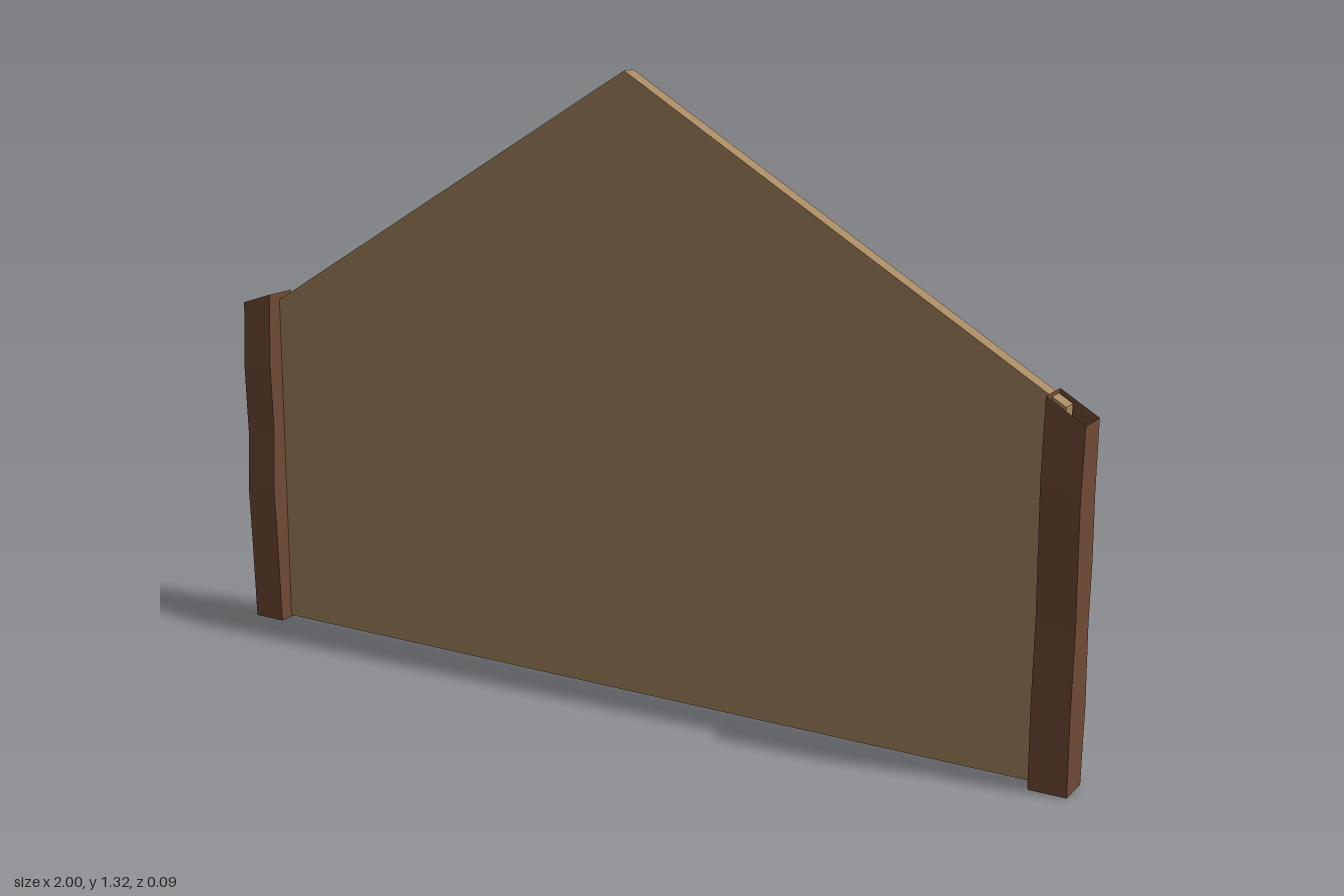
import * as THREE from 'three';

const plankMat = new THREE.MeshStandardMaterial({ color: 0xa68860 });
plankMat.name = 'tan panel';
const woodMat = new THREE.MeshStandardMaterial({ color: 0x704a34, side: THREE.DoubleSide });
woodMat.name = 'dark brown timber';

// Hollow rough-hewn post: stacked rectangular rings, open at both ends.
// rings: [height fraction, front z, back z]
function makePost(name, x0, x1, top0, top1, rings) {
  const corners = rings.map(([t, front, back]) => [
    [x0, t * top0, front], [x1, t * top1, front],
    [x1, t * top1, back], [x0, t * top0, back],
  ]);
  const pos = [];
  for (let i = 0; i < rings.length - 1; i++) {
    for (let k = 0; k < 4; k++) {
      const n = (k + 1) % 4;
      const a = corners[i][k], b = corners[i][n];
      const c = corners[i + 1][n], d = corners[i + 1][k];
      pos.push(...a, ...b, ...c, ...a, ...c, ...d);
    }
  }
  const geo = new THREE.BufferGeometry();
  geo.setAttribute('position', new THREE.Float32BufferAttribute(pos, 3));
  geo.computeVertexNormals(); // unshared corners give flat faces
  const mesh = new THREE.Mesh(geo, woodMat);
  mesh.name = name;
  return mesh;
}

export function createModel() {
  const group = new THREE.Group();
  group.name = 'gableWall';

  // Gabled wall panel
  const shape = new THREE.Shape();
  shape.moveTo(-0.95, 0.004);
  shape.lineTo(0.95, 0.004);
  shape.lineTo(0.95, 0.747);
  shape.lineTo(0, 1.32);
  shape.lineTo(-0.95, 0.747);
  shape.closePath();
  const panelGeo = new THREE.ExtrudeGeometry(shape, { depth: 0.036, bevelEnabled: false });
  panelGeo.translate(0, 0, -0.034);
  const panel = new THREE.Mesh(panelGeo, plankMat);
  panel.name = 'gablePanel';
  group.add(panel);

  // Corner posts with uneven faces and slanted tops
  group.add(makePost('rightPost', -1, -0.923, 0.755, 0.78, [
    [0, 0.035, -0.04], [0.22, 0.04, -0.043], [0.42, 0.046, -0.038],
    [0.6, 0.038, -0.041], [0.8, 0.043, -0.037], [1, 0.035, -0.04],
  ]));
  group.add(makePost('leftPost', 0.922, 1, 0.772, 0.725, [
    [0, 0.035, -0.04], [0.22, 0.039, -0.046], [0.45, 0.034, -0.038],
    [0.62, 0.039, -0.042], [0.8, 0.044, -0.037], [1, 0.035, -0.04],
  ]));

  return group;
}
